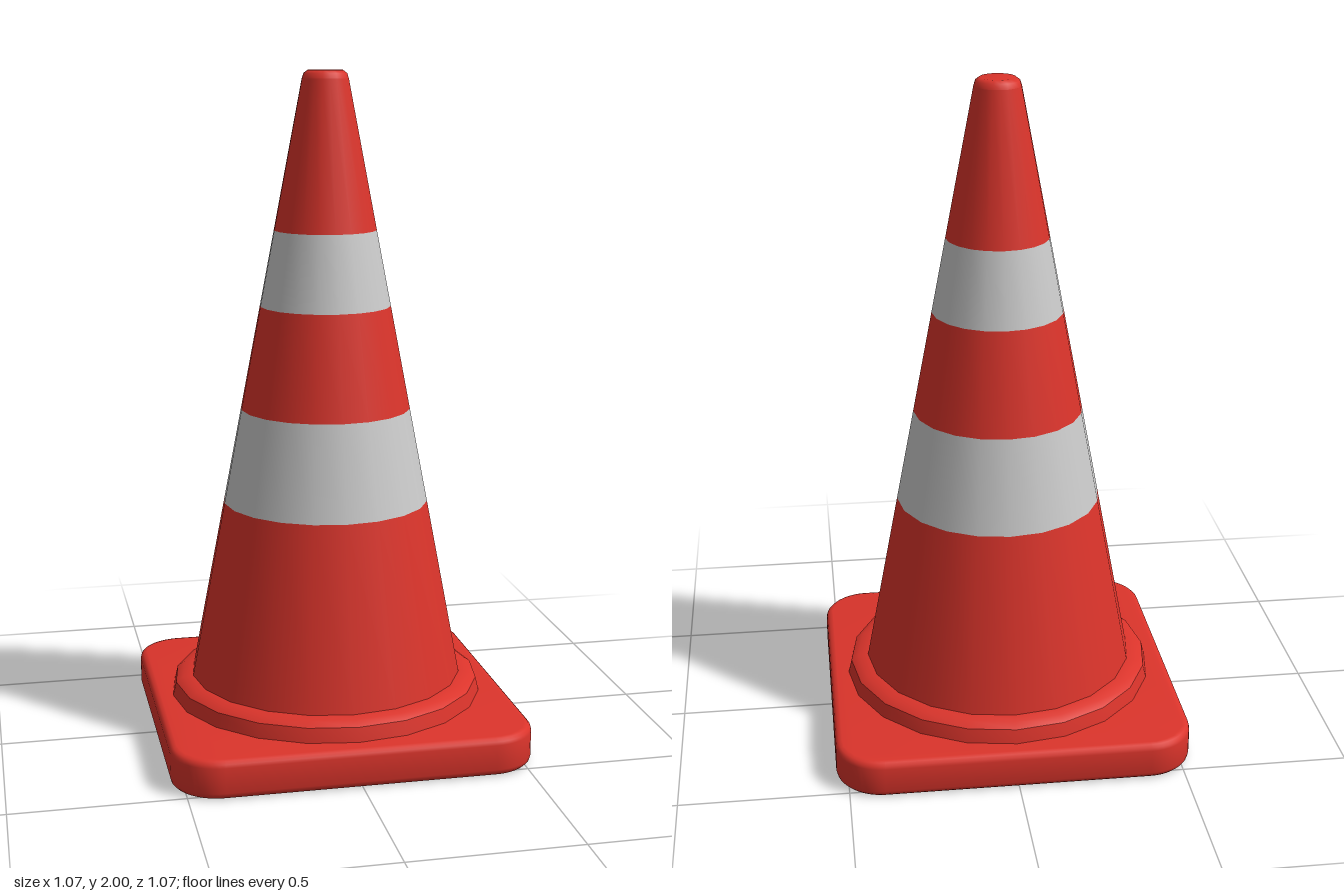
import * as THREE from 'three';
import { toCreasedNormals } from 'three/addons/utils/BufferGeometryUtils.js';

const SIDES = 20;

export function createModel() {
  const model = new THREE.Group();
  model.name = 'trafficCone';
  const red = new THREE.MeshStandardMaterial({ color: 0xdb342b });
  const grey = new THREE.MeshStandardMaterial({ color: 0xcccccc });

  const add = (name, geometry, material) => {
    const mesh = new THREE.Mesh(geometry, material);
    mesh.name = name;
    model.add(mesh);
    return mesh;
  };
  const lathe = (points) =>
    new THREE.LatheGeometry(points.map(([r, y]) => new THREE.Vector2(r, y)), SIDES);

  // Square base plate with rounded corners and softened edges
  const bevel = 0.02, half = 0.535 - bevel, corner = 0.12, height = 0.115;
  const s = half - corner;
  const outline = new THREE.Shape();
  outline.absarc(s, s, corner, 0, Math.PI / 2);
  outline.absarc(-s, s, corner, Math.PI / 2, Math.PI);
  outline.absarc(-s, -s, corner, Math.PI, Math.PI * 1.5);
  outline.absarc(s, -s, corner, Math.PI * 1.5, Math.PI * 2);
  const plate = new THREE.ExtrudeGeometry(outline, {
    depth: height - 2 * bevel, bevelEnabled: true, bevelSize: bevel,
    bevelThickness: bevel, bevelSegments: 3, curveSegments: 6,
  });
  plate.rotateX(-Math.PI / 2).translate(0, bevel, 0);
  add('basePlate', toCreasedNormals(plate, 0.7), red);

  // Stepped collar around the foot of the cone
  const collar = lathe([[0.478, 0.11], [0.467, 0.157], [0.445, 0.172], [0.41, 0.175]]);
  add('collar', toCreasedNormals(collar, 0.6), red);

  // Tapered body, split into alternating red and reflective bands
  const radiusAt = (y) => THREE.MathUtils.mapLinear(y, 0.17, 1.975, 0.415, 0.069);
  const bands = [
    ['lowerBody', 0.17, 0.715, red],
    ['lowerStripe', 0.715, 1.0, grey],
    ['middleBody', 1.0, 1.31, red],
    ['upperStripe', 1.31, 1.535, grey],
    ['upperBody', 1.535, 1.975, red],
  ];
  for (const [name, y0, y1, material] of bands) {
    add(name, lathe([[radiusAt(y0), y0], [radiusAt(y1), y1]]), material);
  }

  // Rounded tip
  add('tip', lathe([[0.069, 1.975], [0.064, 1.99], [0.052, 1.999], [0, 2]]), red);

  return model;
}
